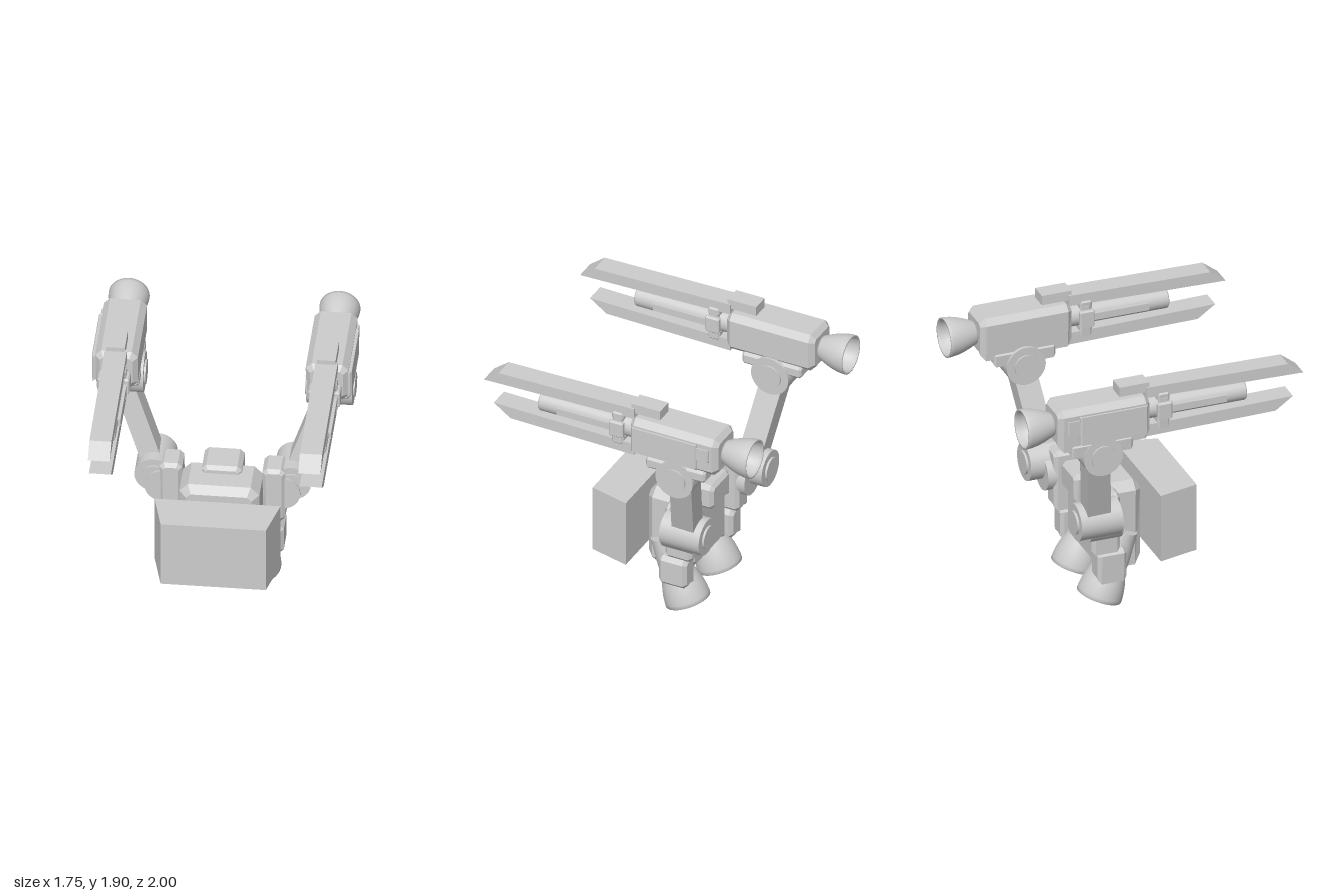
import * as THREE from 'three';

export function createModel() {
  const root = new THREE.Group();
  root.name = 'twinCannonPack';
  const grey = new THREE.MeshStandardMaterial({ color: 0xcccccc, side: THREE.DoubleSide });
  grey.name = 'lightGrey';

  const add = (parent, name, geo, x = 0, y = 0, z = 0) => {
    const m = new THREE.Mesh(geo, grey);
    m.name = name;
    m.position.set(x, y, z);
    parent.add(m);
    return m;
  };
  const group = (name, x = 0, y = 0, z = 0) => {
    const g = new THREE.Group();
    g.name = name;
    g.position.set(x, y, z);
    root.add(g);
    return g;
  };

  // Box with every edge chamfered by c
  function chamferBox(w, h, d, c) {
    const a = w / 2 - c, b = h / 2 - c, k = c * 0.6;
    const s = new THREE.Shape([
      [-a, -b - c + k], [-a + k, -b - c + c], [a - k, -b], [a, -b + k],
      [a, b - k], [a - k, b], [-a + k, b], [-a, b - k],
    ].map(([x, y]) => new THREE.Vector2(x, y)));
    const g = new THREE.ExtrudeGeometry(s, {
      depth: d - 2 * c, bevelEnabled: true, bevelThickness: c, bevelSize: c, bevelSegments: 1,
    });
    return g.translate(0, 0, -(d - 2 * c) / 2);
  }
  // Box from its limits
  const block = (parent, name, x0, x1, y0, y1, z0, z1, c) =>
    add(parent, name, chamferBox(x1 - x0, y1 - y0, z1 - z0, c), (x0 + x1) / 2, (y0 + y1) / 2, (z0 + z1) / 2);

  // Cylinder lying along x or z
  const rod = (r, len, axis, r2 = r) => {
    const g = new THREE.CylinderGeometry(r, r2, len, 40);
    return axis === 'x' ? g.rotateZ(Math.PI / 2) : axis === 'z' ? g.rotateX(Math.PI / 2) : g;
  };

  // Hollow bell, mouth at y = 0, throat at y = h
  function bell(mouth, throat, h) {
    const at = (t) => throat + (mouth - throat) * Math.sin((1 - t) * Math.PI / 2);
    const pts = [new THREE.Vector2(0.001, h * 0.8)];
    for (let i = 8; i >= 0; i--) pts.push(new THREE.Vector2(at(i / 10) - 0.014, i / 10 * h));
    for (let i = 0; i <= 10; i++) pts.push(new THREE.Vector2(at(i / 10), i / 10 * h));
    pts.push(new THREE.Vector2(0.001, h));
    return new THREE.LatheGeometry(pts, 40);
  }

  // Prism from a (z, y) outline, centred on x
  function sidePrism(outline, width) {
    const s = new THREE.Shape(outline.map(([z, y]) => new THREE.Vector2(z, y)));
    return new THREE.ExtrudeGeometry(s, { depth: width, bevelEnabled: false })
      .translate(0, 0, -width / 2).rotateY(-Math.PI / 2);
  }

  // Front slab, narrower at its front
  const slab = new THREE.Shape([[-0.425, -0.115], [0.425, -0.115], [0.355, -0.4], [-0.355, -0.4]]
    .map(([x, y]) => new THREE.Vector2(x, y)));
  add(root, 'frontSlab', new THREE.ExtrudeGeometry(slab, { depth: 0.495, bevelEnabled: false })
    .rotateX(-Math.PI / 2), 0, 0.335, 0);

  // Core body
  const core = group('core');
  block(core, 'coreBody', -0.27, 0.27, 0.285, 0.88, -0.3, 0.045, 0.05);
  block(core, 'backBox', -0.135, 0.135, 0.74, 0.93, -0.39, -0.14, 0.025);

  for (const s of [1, -1]) {
    const side = s > 0 ? 'left' : 'right';
    const span = (a, b) => (s > 0 ? [a, b] : [-b, -a]);

    // Side posts and shoulder joint
    const shoulder = group(side + 'Shoulder');
    block(shoulder, 'upperPost', ...span(0.27, 0.425), 0.48, 0.905, -0.375, -0.17, 0.025);
    block(shoulder, 'lowerPost', ...span(0.27, 0.42), 0.25, 0.475, -0.33, -0.12, 0.025);
    add(shoulder, 'innerJoint', rod(0.125, 0.23, 'z'), s * 0.4, 0.71, -0.305);
    add(shoulder, 'shoulderJoint', rod(0.13, 0.3, 'z'), s * 0.465, 0.775, -0.37);
    add(shoulder, 'shoulderCap', rod(0.082, 0.33, 'z'), s * 0.465, 0.775, -0.37);

    // Arm beam
    const low = new THREE.Vector3(s * 0.465, 0.77, -0.37), high = new THREE.Vector3(s * 0.7, 1.43, -0.467);
    const dir = high.clone().sub(low), mid = low.clone().add(high).multiplyScalar(0.5);
    const arm = add(root, side + 'Arm', new THREE.BoxGeometry(0.138, dir.length(), 0.165), mid.x, mid.y, mid.z);
    arm.quaternion.setFromUnitVectors(new THREE.Vector3(0, 1, 0), dir.normalize());

    // Lower thruster, tilted to the rear
    const thruster = group(side + 'Thruster', s * 0.235, 0.061, -0.257);
    thruster.rotation.x = 0.355;
    add(thruster, 'nozzle', bell(0.157, 0.09, 0.28));
    add(thruster, 'collar', rod(0.115, 0.06, 'y'), 0, 0.27, 0);
    add(thruster, 'mount', rod(0.1, 0.2, 'y', 0.115), 0, 0.4, 0);

    // Cannon, placed about its barrel axis
    const cannon = group(side + 'Cannon', s * 0.71, 1.69, 0);
    block(cannon, 'housing', -0.145, 0.145, -0.14, 0.145, -0.785, -0.125, 0.035);
    block(cannon, 'underStep', -0.145, 0.145, -0.21, -0.12, -0.695, -0.25, 0.015);
    block(cannon, 'jointBlock', -0.14, 0.14, -0.25, -0.19, -0.61, -0.33, 0.012);
    block(cannon, 'sidePanel', ...span(0.13, 0.167), -0.11, 0.11, -0.64, -0.15, 0.012);
    block(cannon, 'sideLatch', ...span(0.13, 0.16), -0.03, 0.085, -0.73, -0.63, 0.01);
    add(cannon, 'elbowJoint', rod(0.14, 0.31, 'x'), -s * 0.005, -0.24, -0.47);
    add(cannon, 'elbowCap', rod(0.085, 0.335, 'x'), -s * 0.005, -0.24, -0.47);
    add(cannon, 'sight', new THREE.BoxGeometry(0.125, 0.07, 0.215), 0, 0.18, -0.2125);

    // Rails above and below the barrel
    add(cannon, 'upperRail', sidePrism([[-0.13, 0.107], [1, 0.083], [0.89, 0.168], [-0.13, 0.184]], 0.15));
    add(cannon, 'lowerRail', sidePrism([[-0.13, -0.183], [0.8, -0.168], [0.925, -0.08], [-0.13, -0.098]], 0.15));

    // Hollow barrel
    const bore = [[0.001, 0.3], [0.052, 0.3], [0.052, 0.592], [0.056, 0.597], [0.068, 0.597], [0.073, 0.59], [0.073, -0.13]];
    const barrel = new THREE.LatheGeometry(bore.reverse().map(([r, z]) => new THREE.Vector2(r, z)), 40);
    add(cannon, 'barrel', barrel.rotateX(Math.PI / 2));
    add(cannon, 'sleeve', rod(0.08, 0.09, 'z'), 0, 0, -0.085);

    // Barrel clamp and side fins
    for (const k of [-1, 1]) {
      add(cannon, 'barrelFin', new THREE.BoxGeometry(0.03, 0.05, 0.46), k * 0.075, 0, 0.215);
      add(cannon, 'clampSide', chamferBox(0.04, 0.12, 0.105, 0.008), k * 0.088, 0, -0.007);
      add(cannon, 'clampPad', chamferBox(0.17, 0.07, 0.085, 0.012), 0, k * 0.094, -0.007);
    }
    add(cannon, 'clamp', chamferBox(0.17, 0.2, 0.07, 0.012), 0, 0, -0.007);

    // Rear exhaust
    add(cannon, 'exhaust', bell(0.138, 0.075, 0.225).rotateX(Math.PI / 2), 0, 0, -1);
  }
  return root;
}
